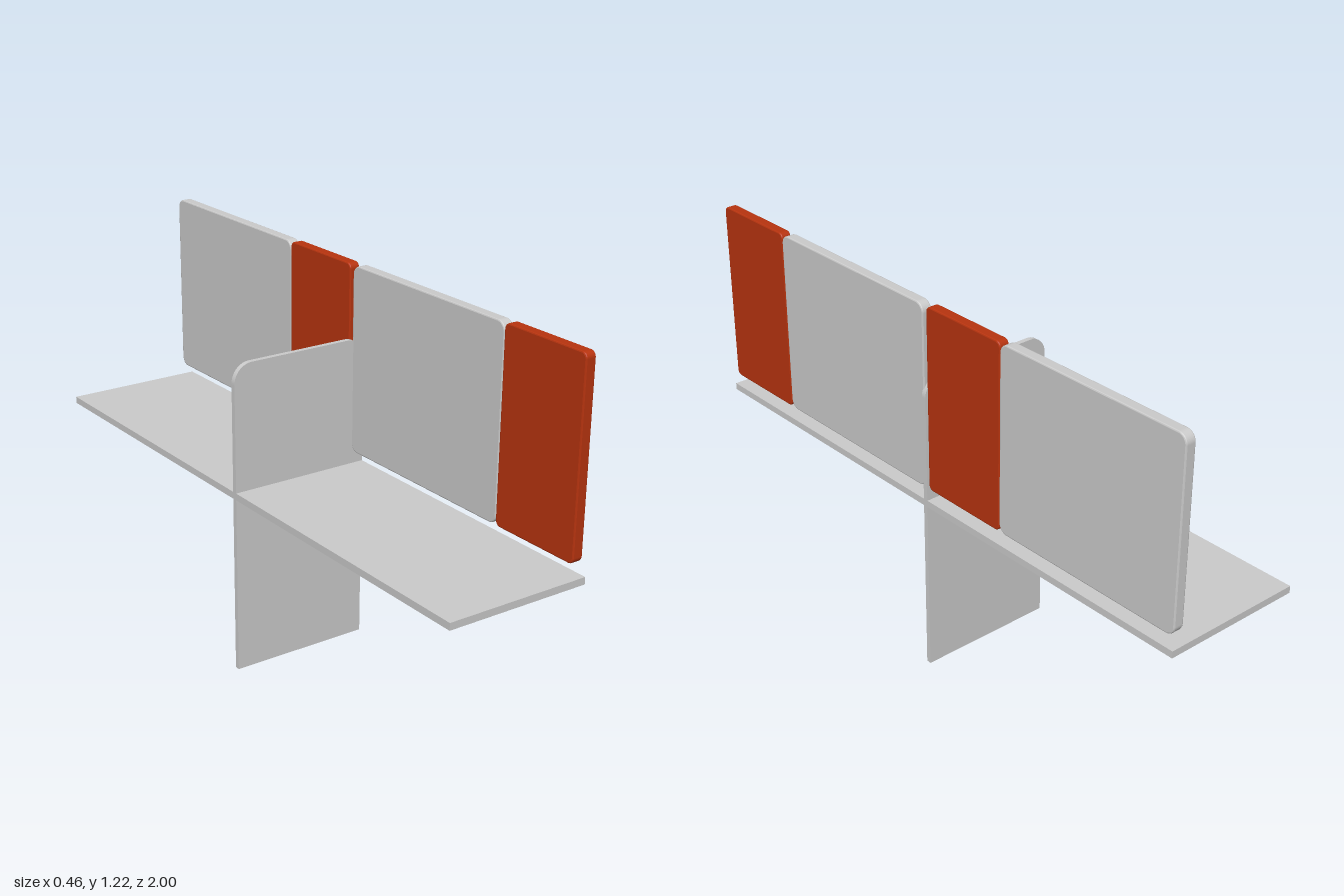
import * as THREE from 'three';

const grey = new THREE.MeshStandardMaterial({ color: 0xcccccc });
const orange = new THREE.MeshStandardMaterial({ color: 0xb8340f });

// Rectangle from (x0, y0) to (x1, y1) with bottom corner radius rb and top corner radius rt
function roundedRect(x0, y0, x1, y1, rb, rt) {
  const s = new THREE.Shape();
  s.moveTo(x0 + rb, y0);
  s.lineTo(x1 - rb, y0);
  if (rb) s.absarc(x1 - rb, y0 + rb, rb, -Math.PI / 2, 0);
  s.lineTo(x1, y1 - rt);
  s.absarc(x1 - rt, y1 - rt, rt, 0, Math.PI / 2);
  s.lineTo(x0 + rt, y1);
  s.absarc(x0 + rt, y1 - rt, rt, Math.PI / 2, Math.PI);
  s.lineTo(x0, y0 + rb);
  if (rb) s.absarc(x0 + rb, y0 + rb, rb, Math.PI, Math.PI * 1.5);
  return s;
}

function addMesh(group, name, geometry, material) {
  const mesh = new THREE.Mesh(geometry, material);
  mesh.name = name;
  group.add(mesh);
  return mesh;
}

// Upright panel along z on the model's left side
function addPanel(group, name, z0, z1, radius, material) {
  const bevel = 0.004;
  const shape = roundedRect(-z1 + bevel, 0.627 + bevel, -z0 - bevel, 1.215 - bevel, radius, radius);
  const geometry = new THREE.ExtrudeGeometry(shape, {
    depth: 0.034 - 2 * bevel, curveSegments: 8,
    bevelEnabled: true, bevelThickness: bevel, bevelSize: bevel, bevelSegments: 2,
  });
  geometry.rotateY(Math.PI / 2);
  geometry.translate(0.192 + bevel, 0, 0);
  addMesh(group, name, geometry, material);
}

export function createModel() {
  const model = new THREE.Group();
  model.name = 'dividedDesk';

  // Long desktop
  addMesh(model, 'desktop', new THREE.BoxGeometry(0.46, 0.022, 2), grey).position.y = 0.577;

  // Cross divider, also the leg, with rounded top corners
  const divider = new THREE.ExtrudeGeometry(roundedRect(-0.23, 0, 0.23, 0.986, 0, 0.06), {
    depth: 0.016, bevelEnabled: false, curveSegments: 10,
  });
  divider.translate(0, 0, -0.008);
  addMesh(model, 'divider', divider, grey);

  // Screen panels: one narrow orange and one wide grey per workplace
  for (const [side, z] of [['front', 0.988], ['back', -0.012]]) {
    addPanel(model, side + 'AccentPanel', z - 0.31, z, 0.014, orange);
    addPanel(model, side + 'ScreenPanel', z - 0.985, z - 0.31, 0.026, grey);
  }
  return model;
}
